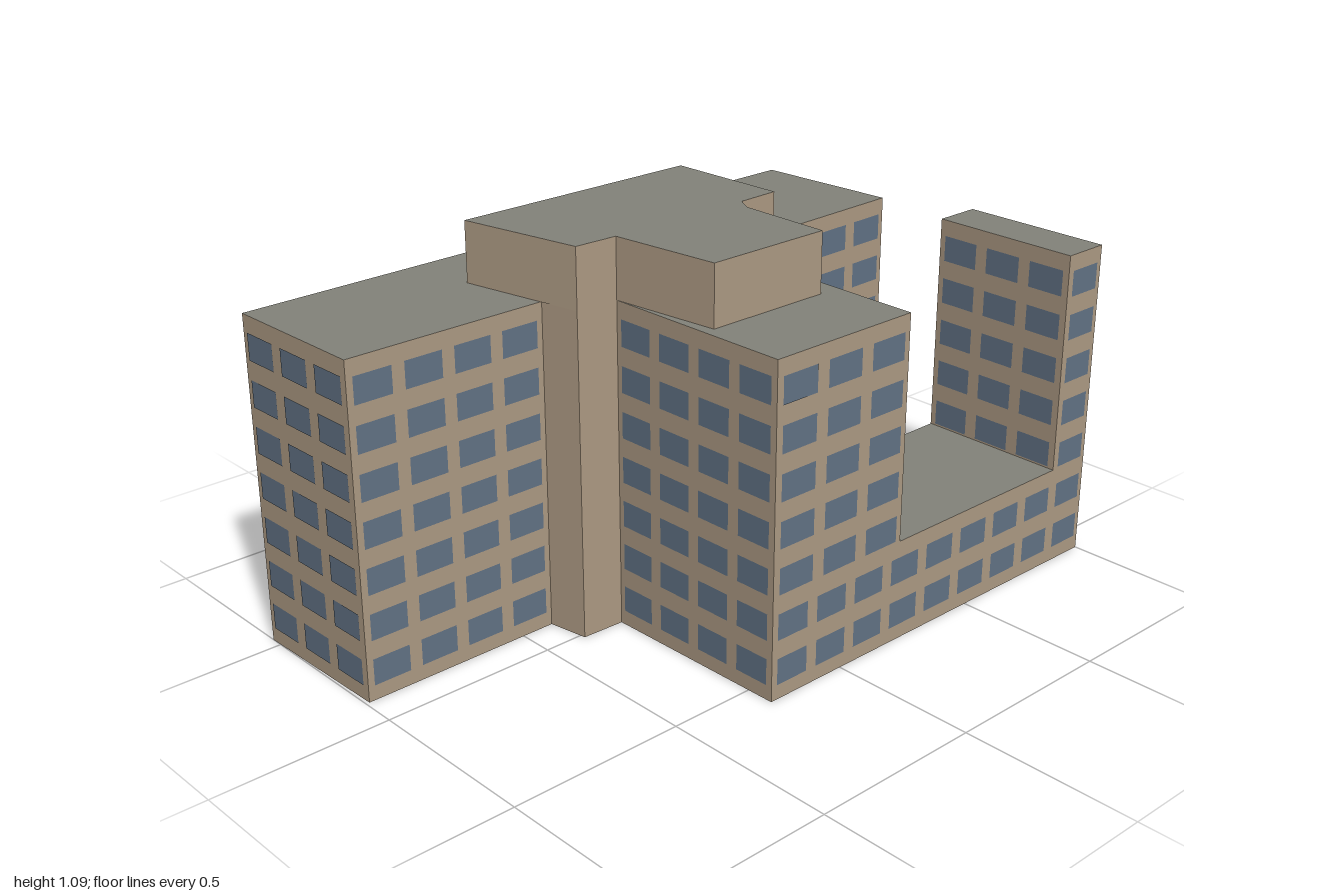
import * as THREE from 'three';
import { mergeGeometries } from 'three/addons/utils/BufferGeometryUtils.js';

const LOW = 0.29, MAIN = 0.922, TOP = 1.09;   // roof levels
const FLOOR = 0.1265, FIRST = 0.08, WIN_H = 0.074, WIN_RATIO = 0.75;

const wallMat = new THREE.MeshStandardMaterial({ color: 0xae9b84, side: THREE.DoubleSide });
wallMat.name = 'wall';
const roofMat = new THREE.MeshStandardMaterial({ color: 0x83837a, side: THREE.DoubleSide });
roofMat.name = 'roof';
const glassMat = new THREE.MeshStandardMaterial({ color: 0x627386 });
glassMat.name = 'glass';

// Upright rectangle on the line a-b, centred at fraction t, facing outward
function panel(a, b, t, width, y, height, offset = 0) {
  const dx = b[0] - a[0], dz = b[1] - a[1], len = Math.hypot(dx, dz);
  const nx = dz / len, nz = -dx / len;
  return new THREE.PlaneGeometry(width, height)
    .rotateY(Math.atan2(nx, nz))
    .translate(a[0] + dx * t + nx * offset, y, a[1] + dz * t + nz * offset);
}

// Storey block from a footprint of [x, z, window columns on the edge to the next point]
function block(name, outline, y0, y1, rows) {
  const group = new THREE.Group();
  group.name = name;
  const walls = [], panes = [];
  outline.forEach((a, i) => {
    const b = outline[(i + 1) % outline.length];
    const len = Math.hypot(b[0] - a[0], b[1] - a[1]);
    const cols = a[2] || 0;
    walls.push(panel(a, b, 0.5, len, (y0 + y1) / 2, y1 - y0));
    for (let c = 0; c < cols; c++) {
      for (const r of rows) {
        panes.push(panel(a, b, (c + 0.5) / cols, len / cols * WIN_RATIO, FIRST + r * FLOOR, WIN_H, 0.002));
      }
    }
  });
  const add = (part, geometry, material) => {
    const mesh = new THREE.Mesh(geometry, material);
    mesh.name = part;
    group.add(mesh);
  };
  add(name + 'Walls', mergeGeometries(walls), wallMat);
  if (panes.length) add(name + 'Windows', mergeGeometries(panes), glassMat);
  const shape = new THREE.Shape(outline.map(([x, z]) => new THREE.Vector2(x, -z)));
  add(name + 'Roof', new THREE.ShapeGeometry(shape).rotateX(-Math.PI / 2).translate(0, y1, 0), roofMat);
  return group;
}

export function createModel() {
  const model = new THREE.Group();
  model.name = 'apartmentBuilding';

  // Edges shared by the lower and main storeys
  const backWing = [[-0.55, -0.86, 3], [-0.12, -0.89, 4], [-0.10, -0.305], [0.015, -0.30], [0.02, -0.175]];
  const frontSide = [[0.02, 0.26], [0.015, 0.385], [-0.10, 0.405, 4], [-0.10, 0.99, 3]];

  // Lower two storeys, with the east wing running back and a bay on the long wall
  model.add(block('lowerStoreys', [
    ...backWing,
    [0.14, -0.175, 6], [0.13, -0.997], [0.58, -1, 9], [0.58, 0.25, 4],
    ...frontSide,
    [-0.535, 1, 4], [-0.54, 0.40], [-0.585, 0.365, 5], [-0.58, -0.285], [-0.55, -0.33, 4],
  ], 0, LOW, [0, 1]));

  const upperRows = [2, 3, 4, 5, 6];
  // Main upper storeys
  model.add(block('upperStoreys', [
    ...backWing,
    [0.14, -0.175], [0.138, -0.215, 3], [0.58, -0.215, 3], [0.58, 0.25, 4],
    ...frontSide,
    [-0.535, 1, 13],
  ], LOW, MAIN, upperRows));

  // Slim tower at the end of the east wing
  model.add(block('endTower', [
    [0.13, -0.997, 3], [0.58, -1, 1], [0.58, -0.86, 3], [0.131, -0.86, 1],
  ], LOW, MAIN, upperRows));

  // Plain rooftop storey
  model.add(block('penthouse', [
    [-0.34, -0.288], [0.015, -0.30], [0.02, -0.175], [0.065, -0.15], [0.335, -0.15],
    [0.335, 0.222], [0.02, 0.26], [0.015, 0.385], [-0.34, 0.457],
  ], MAIN, TOP, []));

  return model;
}
